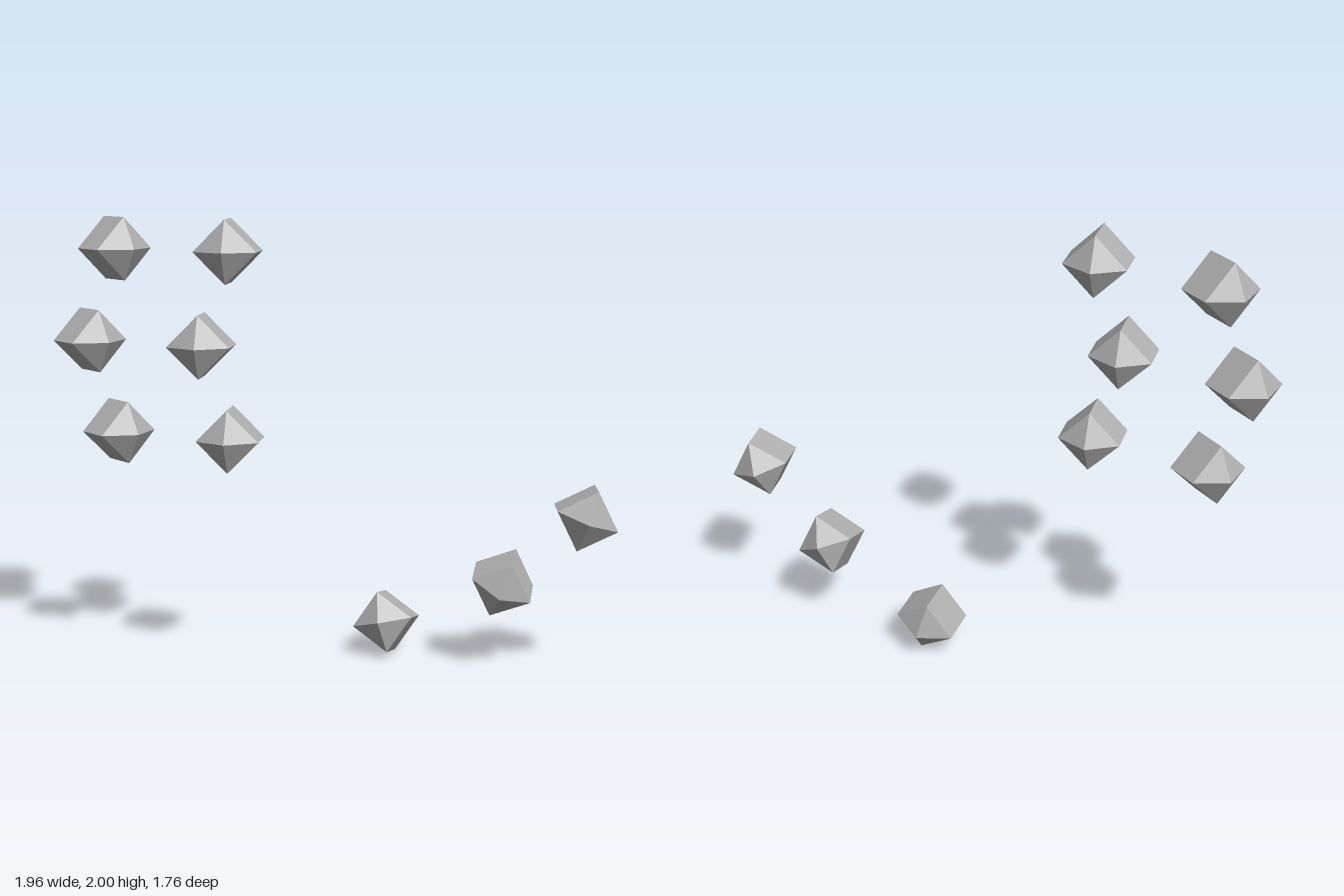
import * as THREE from 'three';

export function createModel() {
  const model = new THREE.Group();
  const grey = new THREE.MeshStandardMaterial({ color: 0xb0b0b0 });
  grey.name = 'grey';

  // Faceted ball: two square rings between two poles, with flat face normals
  const ball = new THREE.SphereGeometry(0.16, 4, 3).toNonIndexed();
  ball.computeVertexNormals();

  // axis: direction of the poles; corner: direction of one ring corner
  function addBall(parent, name, position, axis, corner) {
    const y = new THREE.Vector3(...axis).normalize();
    const x = new THREE.Vector3(...corner);
    x.addScaledVector(y, -x.dot(y)).normalize();
    const z = new THREE.Vector3().crossVectors(x, y);
    const mesh = new THREE.Mesh(ball, grey);
    mesh.name = name;
    mesh.quaternion.setFromRotationMatrix(new THREE.Matrix4().makeBasis(x, y, z));
    mesh.position.set(...position);
    parent.add(mesh);
  }

  // Two upright columns of three, the middle row set forward and outward
  const columns = new THREE.Group();
  columns.name = 'columns';
  [1.042, 1.452, 1.861].forEach((y, i) => {
    const shift = i === 1 ? 0.086 : 0;
    addBall(columns, `outerBall${i + 1}`, [-0.735 - shift, y, 0.65 + shift], [1, 0, 0], [0, 1, 0]);
    addBall(columns, `innerBall${i + 1}`, [-0.233 - shift, y, 0.396 + shift], [0.68, 0, 0.73], [0, 1, 0]);
  });
  model.add(columns);

  // Rising diagonal row of three tilted balls
  const row = new THREE.Group();
  row.name = 'risingRow';
  [
    [[0.041, 0.15, -0.28], [0.178, 0.066, 0.265], [-0.077, 0.264, -0.006]],
    [[0.517, 0.386, -0.553], [0.199, -0.081, 0.246], [0.111, 0.244, -0.026]],
    [[0.834, 0.711, -0.735], [0.262, 0, 0.236], [0.048, 0.248, -0.07]],
  ].forEach(([position, axis, corner], i) => addBall(row, `rowBall${i + 1}`, position, axis, corner));
  model.add(row);

  return model;
}
